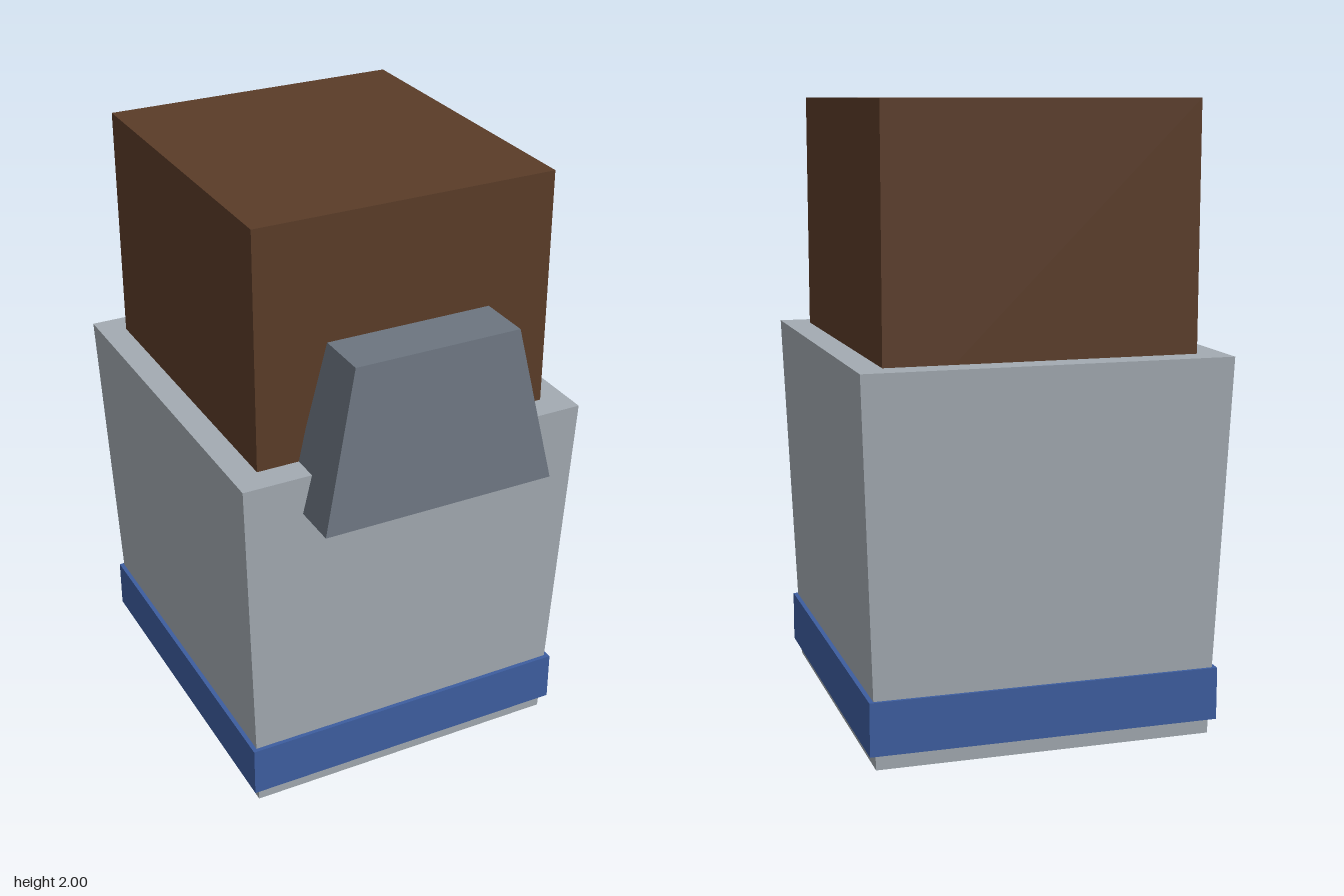
import * as THREE from 'three';

// Box from y0 to y1 whose four sides taper: bottom and top are [width, depth]
function taperedBox(name, color, y0, y1, z, bottom, top = bottom) {
  const h = y1 - y0;
  const geometry = new THREE.BoxGeometry(1, h, 1);
  const p = geometry.attributes.position;
  for (let i = 0; i < p.count; i++) {
    const [w, d] = p.getY(i) > 0 ? top : bottom;
    p.setX(i, p.getX(i) * w);
    p.setZ(i, p.getZ(i) * d);
  }
  geometry.computeVertexNormals();
  const material = new THREE.MeshStandardMaterial({ color, flatShading: true });
  const mesh = new THREE.Mesh(geometry, material);
  mesh.name = name;
  mesh.position.set(0, y0 + h / 2, z);
  return mesh;
}

export function createModel() {
  const model = new THREE.Group();
  model.name = 'model';
  model.add(
    // Flared container standing on the ground
    taperedBox('body', 0xa3abb2, 0, 1.22, -0.075, [1.085, 1.175], [1.175, 1.265]),
    // Band around the foot of the body
    taperedBox('band', 0x3d5d9f, 0.05, 0.22, -0.073, [1.13, 1.215]),
    // Block rising out of the body
    taperedBox('block', 0x5a3c28, 1.0, 2, -0.075, [1.0, 1.085]),
    // Tapered plate on the front rim
    taperedBox('frontPlate', 0x6c7580, 1.09, 1.61, 0.578, [0.78, 0.255], [0.55, 0.18]),
  );
  return model;
}
